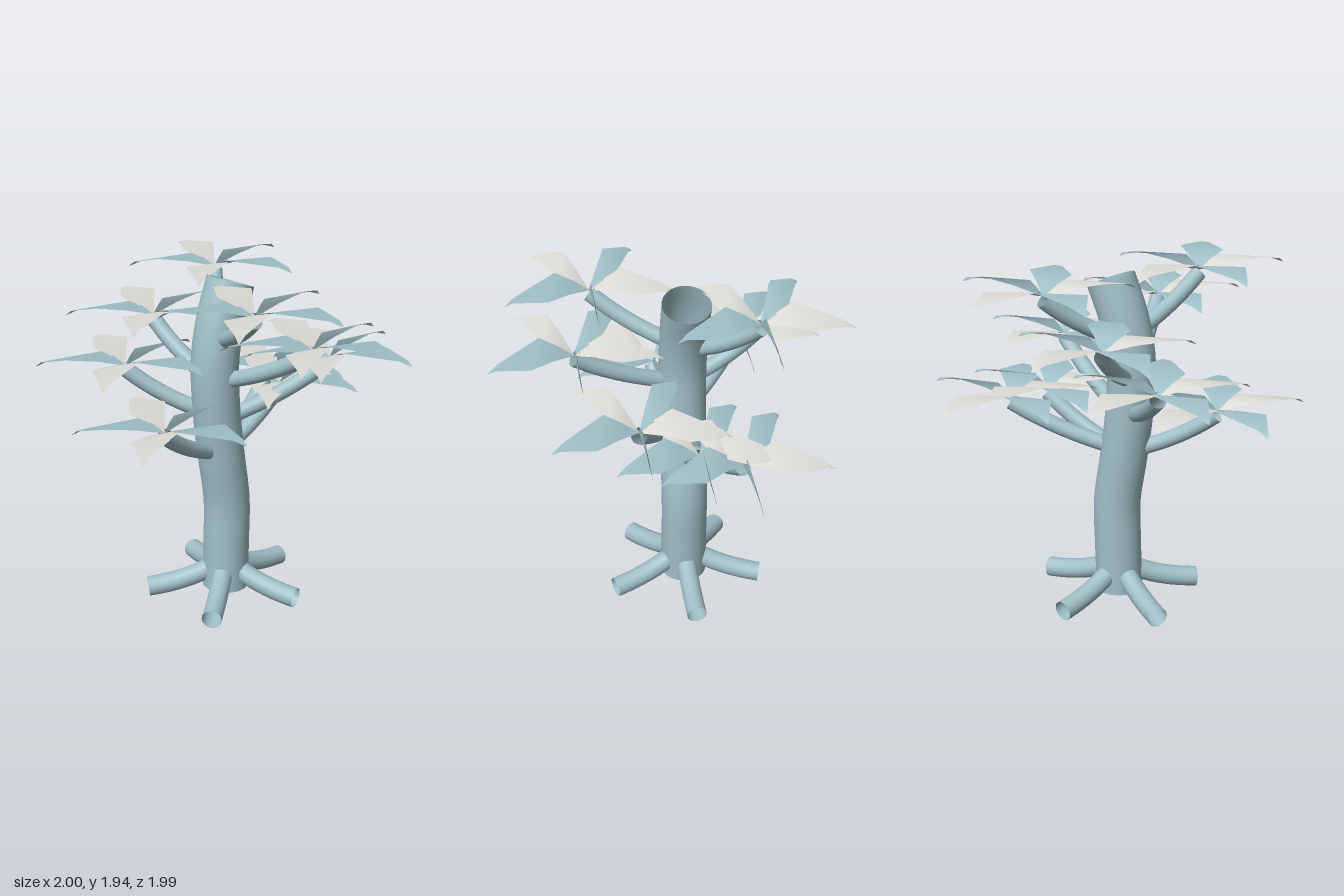
import * as THREE from 'three';

const material = (name, color) => {
  const m = new THREE.MeshStandardMaterial({ color, side: THREE.DoubleSide });
  m.name = name;
  return m;
};

export function createModel() {
  const tree = new THREE.Group();
  tree.name = 'tree';
  const blueGrey = material('blueGrey', 0xa0bfc7);
  const paleGrey = material('paleGrey', 0xdddcd7);
  const v = (x, y, z) => new THREE.Vector3(x, y, z);

  const add = (parent, name, geometry, mat) => {
    const mesh = new THREE.Mesh(geometry, mat);
    mesh.name = name;
    parent.add(mesh);
    return mesh;
  };

  // Trunk: open tube with a gentle S bend
  const trunkCurve = new THREE.CatmullRomCurve3([
    [-0.062, 0.05], [-0.052, 0.35], [-0.048, 0.6], [-0.09, 0.9],
    [-0.125, 1.2], [-0.13, 1.48], [-0.085, 1.7], [-0.01, 1.9],
  ].map(([x, y]) => v(x, y, -0.1)));
  add(tree, 'trunk', new THREE.TubeGeometry(trunkCurve, 40, 0.134, 24), blueGrey);

  // Trunk axis position at a given height
  const axisAt = (y) => {
    let best = trunkCurve.getPoint(0);
    for (let i = 1; i <= 100; i++) {
      const p = trunkCurve.getPoint(i / 100);
      if (Math.abs(p.y - y) < Math.abs(best.y - y)) best = p;
    }
    return best;
  };

  // Roots: five short tubes spreading around the base
  for (let i = 0; i < 5; i++) {
    const a = (i * Math.PI * 2) / 5;
    const at = (r, y) => v(-0.06 + r * Math.cos(a), y, -0.1 + r * Math.sin(a));
    const curve = new THREE.QuadraticBezierCurve3(at(0.06, 0.18), at(0.22, 0.085), at(0.46, 0.064));
    add(tree, 'root', new THREE.TubeGeometry(curve, 14, 0.058, 16), blueGrey);
  }

  // Leaf: kite surface whose width always lies along x, arched with a drooping tip
  const rows = [ // [along, half width, height]
    [0, 0.004, 0], [0.22, 0.071, 0.042], [0.45, 0.145, 0.07],
    [0.9, 0.03, 0.047], [1, 0.004, 0.022],
  ];
  const leafGeometry = (a) => {
    const positions = [];
    const indices = [];
    rows.forEach(([t, w, h], r) => {
      for (let s = -1; s <= 1; s++) {
        positions.push(
          0.487 * t * Math.cos(a) + s * w,
          h - s * w * 0.07,
          0.487 * t * Math.sin(a) + s * w * 0.2 * Math.sin(a) + s * w * 0.03,
        );
      }
      if (r === 0) return;
      for (let s = 0; s < 2; s++) {
        const p = (r - 1) * 3 + s;
        const q = p + 3;
        // keep the upper side facing up whichever way the leaf points
        if (Math.sin(a) >= 0) indices.push(p, q, p + 1, p + 1, q, q + 1);
        else indices.push(p, p + 1, q, p + 1, q + 1, q);
      }
    });
    const g = new THREE.BufferGeometry();
    g.setAttribute('position', new THREE.Float32BufferAttribute(positions, 3));
    g.setIndex(indices);
    g.computeVertexNormals();
    return g;
  };
  const leaves = [0, 1, 2, 3, 4].map((i) => leafGeometry((-i * Math.PI * 2) / 5));

  // Branches, each carrying a five-leaf cluster: [x, y, z of cluster, start height]
  const branches = [
    [-0.6, 1.205, 0, 0.95],
    [0.39, 1.205, -0.1, 0.95],
    [0.51, 1.205, -0.315, 0.95],
    [0.45, 1.43, 0.23, 1.14],
    [-0.46, 1.43, -0.475, 1.18],
    [-0.01, 1.65, 0.51, 1.38],
    [-0.18, 1.645, -0.55, 1.39],
    [-0.315, 1.87, 0.385, 1.62],
    [0.21, 1.87, -0.455, 1.61],
  ];
  for (const [x, y, z, startY] of branches) {
    const axis = axisAt(startY);
    const out = v(x - axis.x, 0, z - axis.z);
    const reach = out.length();
    out.normalize();
    const at = (r, h) => v(axis.x + out.x * r, h, axis.z + out.z * r);
    const endY = y - 0.02;
    const curve = new THREE.QuadraticBezierCurve3(
      at(0.1, startY),
      at(0.1 + (reach - 0.1) * 0.55, startY + (endY - startY) * 0.36),
      at(reach, endY),
    );
    add(tree, 'branch', new THREE.TubeGeometry(curve, 16, 0.045, 16), blueGrey);

    const cluster = new THREE.Group();
    cluster.name = 'leafCluster';
    cluster.position.set(x, y, z);
    leaves.forEach((g, i) => add(cluster, 'leaf', g, i % 2 ? paleGrey : blueGrey));
    tree.add(cluster);
  }

  return tree;
}
